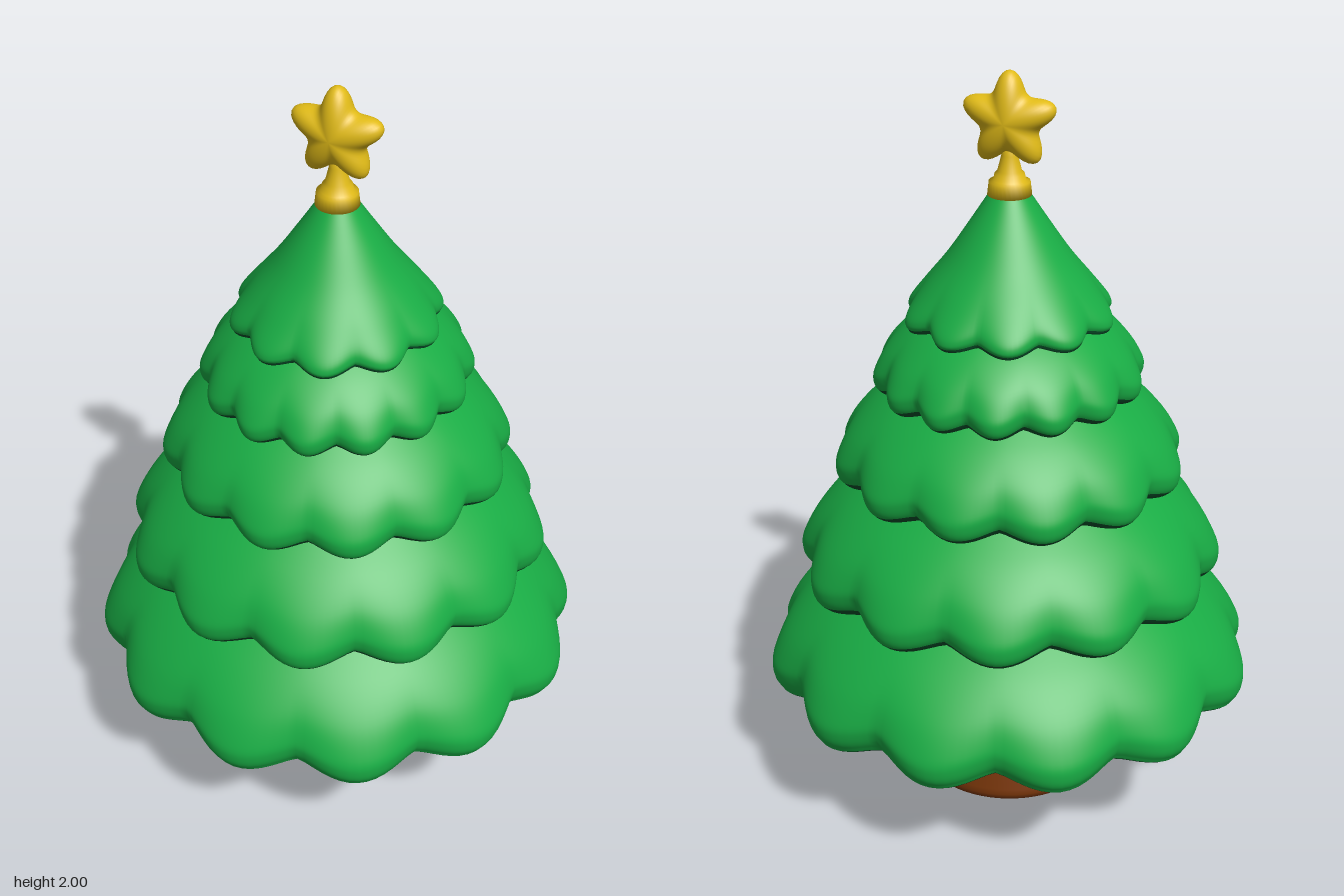
import * as THREE from 'three';
import { mergeVertices } from 'three/addons/utils/BufferGeometryUtils.js';

const flat = (name, color) => new THREE.MeshStandardMaterial({ name, color });
const needleGreen = flat('needle green', 0x19ad45);
const shadeGreen = flat('deep green', 0x07502a);
const barkBrown = flat('bark brown', 0x773509);
const collarBrown = flat('dark brown', 0x462c0c);
const starGold = flat('star gold', 0xe2bc18);

const v2 = (p) => new THREE.Vector2(p[0], p[1]);

// Weld seams so that the normals are smooth all round
function smooth(geometry) {
  geometry.deleteAttribute('uv');
  geometry.deleteAttribute('normal');
  const g = mergeVertices(geometry, 1e-5);
  g.computeVertexNormals();
  return g;
}

function part(name, geometry, material) {
  const mesh = new THREE.Mesh(geometry, material);
  mesh.name = name;
  return mesh;
}

// Outer slope of a tier, from its rim to its top: [share of radius, share of height]
const ROUNDED = [[0.8, 0], [0.95, 0.06], [1, 0.16], [0.97, 0.28], [0.79, 0.5], [0.47, 0.74], [0, 1]];
const CONICAL = [[0.92, 0], [0.98, 0.025], [1, 0.065], [0.95, 0.14], [0.76, 0.3], [0.49, 0.52], [0.22, 0.78], [0, 1]];
const STEPS = 6;

// One skirt of branches with a scalloped hem: green slope and deep green underside
function branchTier(name, { R, rTop, hem, top, inner, lobes, phase, depth, drop, shape, rim = 3, zScale = 1 }) {
  const outer = shape.map(([u, v]) => v2([rTop + (R - rTop) * u, hem + (top - hem) * v]));
  const underside = [v2([inner, hem + 0.038]), v2([(inner + R) / 2, hem + 0.024])];
  const points = [...underside, ...outer];
  const profile = new THREE.SplineCurve(points).getPoints(STEPS * (points.length - 1));

  const scalloped = (section) => {
    const g = new THREE.LatheGeometry(section, lobes * 14);
    const pos = g.attributes.position;
    for (let i = 0; i < pos.count; i++) {
      const x = pos.getX(i), y = pos.getY(i), z = pos.getZ(i);
      const wave = Math.cos(lobes * Math.atan2(x, z) + phase);
      const dip = 1 - Math.pow((1 + wave) / 2 + 1e-4, 0.65);
      const t = THREE.MathUtils.clamp((y - hem) / (top - hem), 0, 1);
      const fade = Math.pow(1 - t, 0.9) * Math.pow(Math.hypot(x, z) / R, 3);
      const k = 1 - (depth / R) * dip * fade;
      pos.setXYZ(i, x * k, y + drop * dip * fade, z * k * zScale);
    }
    return smooth(g);
  };

  const split = Math.round(rim * STEPS);
  const tier = new THREE.Group();
  tier.name = name;
  tier.add(part('branches', scalloped(profile.slice(split)), needleGreen));
  tier.add(part('underside', scalloped(profile.slice(0, split + 1)), shadeGreen));
  return tier;
}

// Puffed five-pointed star with rounded tips
function starGeometry() {
  const g = new THREE.SphereGeometry(1, 80, 32);
  g.rotateX(Math.PI / 2);
  const pos = g.attributes.position;
  for (let i = 0; i < pos.count; i++) {
    const x = pos.getX(i), y = pos.getY(i), z = pos.getZ(i);
    const w = (1 + Math.cos(5 * Math.atan2(x, y))) / 2;
    const r = 0.08 + 0.046 * Math.pow(w, 1.2);
    pos.setXYZ(i, x * r, y * r, z * 0.053);
  }
  return smooth(g);
}

export function createModel() {
  const tree = new THREE.Group();
  tree.name = 'decoratedTree';

  // Trunk, flared at the foot, with a dark collar under the branches
  const trunkSide = new THREE.SplineCurve(
    [[0.259, 0.022], [0.238, 0.12], [0.212, 0.22], [0.187, 0.333]].map(v2)).getPoints(14);
  const trunkProfile = [[0, 0], [0.243, 0], [0.254, 0.006]].map(v2).concat(trunkSide);
  tree.add(part('trunk', new THREE.LatheGeometry(trunkProfile, 64), barkBrown));
  const collar = [[0.18, 0.333], [0.26, 0.333], [0.26, 0.36]].map(v2);
  tree.add(part('trunkCollar', new THREE.LatheGeometry(collar, 64), collarBrown));

  // Five tiers of branches, from the lowest to the highest
  const tiers = [
    { R: 0.667, rTop: 0.42, hem: 0.3, top: 0.66, inner: 0.24, lobes: 12, phase: 0, depth: 0.052, drop: 0.042, shape: ROUNDED, rim: 2.5 },
    { R: 0.573, rTop: 0.35, hem: 0.616, top: 0.94, inner: 0.36, lobes: 12, phase: Math.PI, depth: 0.047, drop: 0.036, shape: ROUNDED },
    { R: 0.468, rTop: 0.26, hem: 0.906, top: 1.2, inner: 0.28, lobes: 12, phase: 0, depth: 0.038, drop: 0.03, shape: ROUNDED },
    { R: 0.356, rTop: 0.18, hem: 1.156, top: 1.4, inner: 0.2, lobes: 14, phase: Math.PI, depth: 0.031, drop: 0.022, shape: ROUNDED, zScale: 1.05 },
    { R: 0.276, rTop: 0.05, hem: 1.343, top: 1.69, inner: 0.13, lobes: 10, phase: Math.PI, depth: 0.029, drop: 0.02, shape: CONICAL, zScale: 1.03 },
  ];
  tiers.forEach((tier, i) => tree.add(branchTier('branchTier' + (i + 1), tier)));

  // Stepped socket holding the star
  const socket = [[0, 1.683], [0.057, 1.683], [0.053, 1.718], [0.042, 1.721], [0.038, 1.738],
    [0.031, 1.745], [0.021, 1.785], [0.018, 1.83], [0, 1.83]].map(v2);
  tree.add(part('starSocket', new THREE.LatheGeometry(socket, 32), starGold));

  const star = part('star', starGeometry(), starGold);
  star.position.y = 1.874;
  tree.add(star);

  return tree;
}
